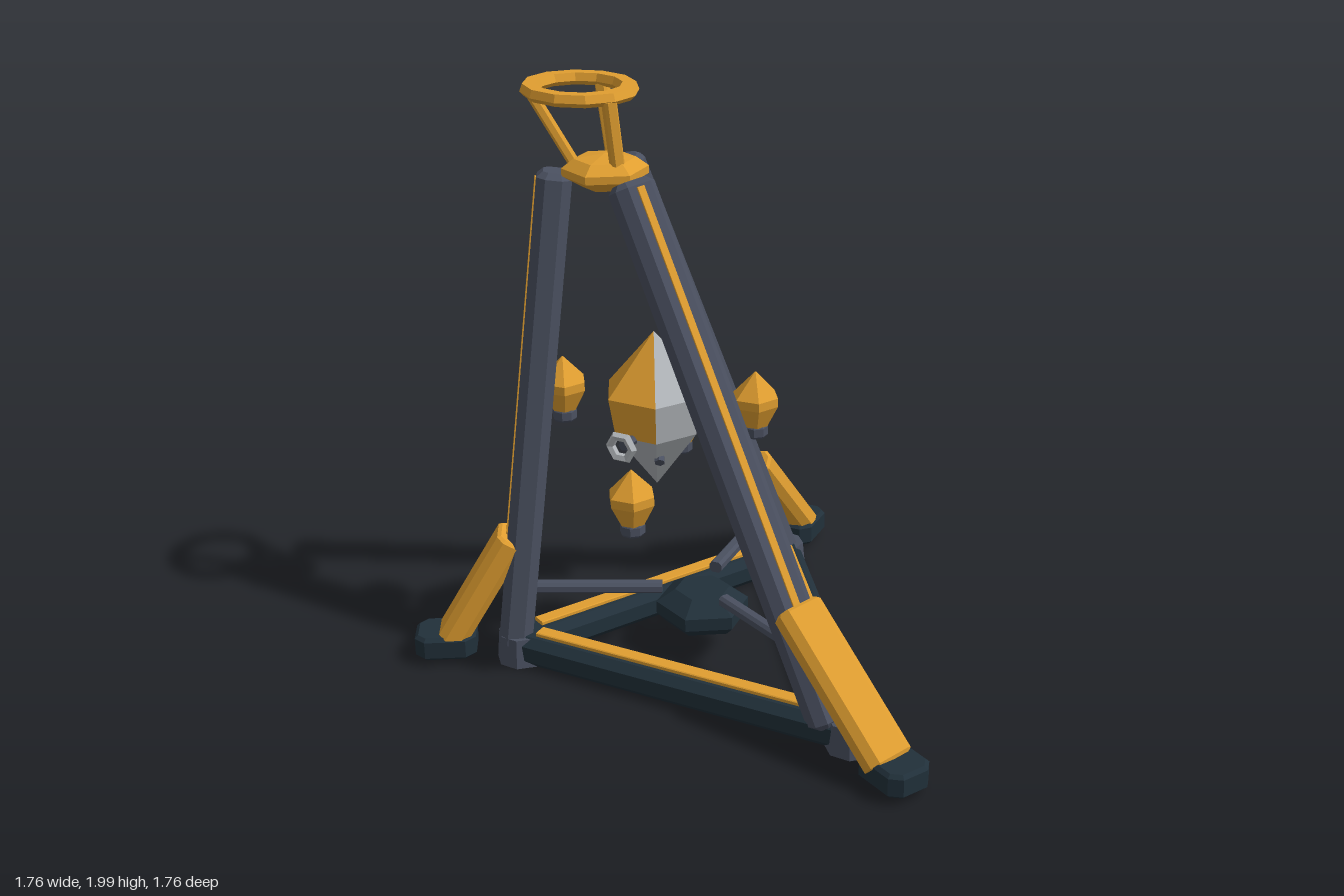
import * as THREE from 'three';

const V = (x, y, z) => new THREE.Vector3(x, y, z);

export function createModel() {
  const model = new THREE.Group();
  model.name = 'tripodTower';
  const mat = (name, color) => {
    const m = new THREE.MeshStandardMaterial({ color, flatShading: true });
    m.name = name;
    return m;
  };
  const amber = mat('amber', 0xe09e30);
  const slate = mat('slate', 0x4a5060);
  const dark = mat('darkTeal', 0x21303a);
  const silver = mat('silver', 0xb0b4b8);

  const add = (name, geo, material, pos = V(0, 0, 0), parent = model) => {
    const m = new THREE.Mesh(geo, material);
    m.name = name;
    m.position.copy(pos);
    parent.add(m);
    return m;
  };

  // Bar from a to b with a chamfered section: w across, d along the "out" side
  function bar(name, a, b, w, d, c, out, material, bevel = 0) {
    const x = w / 2, y = d / 2;
    const s = new THREE.Shape([
      [-x + c, -y], [x - c, -y], [x, -y + c], [x, y - c],
      [x - c, y], [-x + c, y], [-x, y - c], [-x, -y + c],
    ].map(p => new THREE.Vector2(...p)));
    const len = a.distanceTo(b);
    const geo = new THREE.ExtrudeGeometry(s, {
      depth: len - 2 * bevel, bevelEnabled: bevel > 0, bevelSize: bevel,
      bevelThickness: bevel, bevelOffset: -bevel, bevelSegments: 1,
    });
    geo.translate(0, 0, bevel);
    const axis = b.clone().sub(a).normalize();
    const t = out.clone().cross(axis).normalize();
    const o = axis.clone().cross(t);
    geo.applyMatrix4(new THREE.Matrix4().makeBasis(t, o, axis).setPosition(a));
    return add(name, geo, material);
  }

  // Faceted solid of revolution from [radius, y] pairs
  const lathe = (pts, sides) => new THREE.LatheGeometry(pts.map(p => new THREE.Vector2(...p)), sides);
  const rod = (name, a, b, r, material) => {
    const geo = new THREE.CylinderGeometry(r, r, a.distanceTo(b), 6);
    const m = add(name, geo, material, a.clone().add(b).multiplyScalar(0.5));
    m.quaternion.setFromUnitVectors(V(0, 1, 0), b.clone().sub(a).normalize());
  };

  // One entry per side of the tripod
  const sides = [
    { n: 'left', out: V(1, 0, 0.04), corner: V(0.53, 0, 0.03), top: V(-0.345, 1.72, 0.24), foot: V(0.475, 0.08, 0.07),
      strut: [V(0.335, 0.455, 0.105), V(0.76, 0.085, 0.075)], pad: V(0.775, 0, 0.07),
      spoke: [V(-0.12, 0.265, 0.05), V(0.43, 0.27, 0.06)], post: [V(-0.4, 1.75, 0.245), V(-0.385, 1.975, 0.28)] },
    { n: 'front', out: V(-0.55, 0, 0.83), corner: V(-0.6, 0, 0.57), top: V(-0.605, 1.72, 0.35), foot: V(-0.62, 0.06, 0.585),
      strut: [V(-0.645, 0.465, 0.56), V(-0.765, 0.085, 0.755)], pad: V(-0.775, 0, 0.77),
      spoke: [V(-0.33, 0.265, 0.16), V(-0.58, 0.275, 0.51)], post: [V(-0.565, 1.75, 0.305), V(-0.655, 1.975, 0.4)] },
    { n: 'back', out: V(-0.48, 0, -0.88), corner: V(-0.57, 0, -0.565), top: V(-0.6, 1.72, 0.1), foot: V(-0.58, 0.06, -0.56),
      strut: [V(-0.62, 0.465, -0.45), V(-0.71, 0.085, -0.755)], pad: V(-0.715, 0, -0.765),
      spoke: [V(-0.33, 0.265, -0.07), V(-0.55, 0.27, -0.46)], post: [V(-0.545, 1.75, 0.165), V(-0.645, 1.975, 0.135)] },
  ];

  sides.forEach((s, i) => {
    s.out.normalize();
    const at = (p, y) => V(p.x, y, p.z);

    // Leg with a thin stripe down its outer face
    bar(s.n + 'Leg', s.foot, s.top, 0.145, 0.115, 0.03, s.out, slate, 0.02);
    const axis = s.top.clone().sub(s.foot).normalize();
    const t = s.out.clone().cross(axis).normalize();
    const lift = axis.clone().cross(t).multiplyScalar(0.059);
    const on = k => s.foot.clone().lerp(s.top, k).add(lift);
    bar(s.n + 'LegStripe', on(0.2), on(0.985), 0.026, 0.009, 0.001, s.out, amber);

    // Outrigger strut and foot pad
    bar(s.n + 'Strut', s.strut[0], s.strut[1], 0.16, 0.1, 0.025, s.out, amber, 0.01);
    bar(s.n + 'FootPad', at(s.pad, 0.03), at(s.pad, 0.115), 0.165, 0.21, 0.035, s.out, dark, 0.012);

    // Corner joint
    const joint = new THREE.CylinderGeometry(0.08, 0.09, 0.105, 8);
    add(s.n + 'CornerJoint', joint, slate, at(s.corner, 0.0625));

    // Base beam to the next corner, with a strip on top
    const next = sides[(i + 1) % 3].corner;
    const up = V(0, 1, 0);
    bar(s.n + 'BaseBeam', at(s.corner, 0.065), at(next, 0.065), 0.13, 0.11, 0.028, up, dark);
    const mid = k => at(s.corner.clone().lerp(next, k), 0.127);
    bar(s.n + 'BaseStrip', mid(0.06), mid(0.94), 0.05, 0.016, 0.003, up, amber);

    // Spoke toward the base hub, and post under the crown ring
    bar(s.n + 'Spoke', s.spoke[0], s.spoke[1], 0.045, 0.04, 0.01, up, slate);
    bar(s.n + 'CrownPost', s.post[0], s.post[1], 0.045, 0.035, 0.008, s.out, amber);
  });

  // Base hub
  const hub = lathe([[0, 0.13], [0.14, 0.13], [0.17, 0.16], [0.17, 0.205], [0.1, 0.25], [0, 0.25]], 6);
  hub.rotateY(Math.PI / 6);
  hub.scale(1, 1, 0.92);
  add('baseHub', hub, dark, V(-0.26, 0, 0.04));

  // Top hub and crown ring
  const crown = lathe([[0, 1.675], [0.07, 1.675], [0.14, 1.715], [0.14, 1.74], [0.1, 1.77], [0, 1.785]], 6);
  crown.rotateY(Math.PI / 6);
  add('topHub', crown, amber, V(-0.48, 0, 0.24));
  const ring = lathe([[0.135, 1.975], [0.15, 1.96], [0.185, 1.96], [0.2, 1.975], [0.19, 2], [0.145, 2], [0.135, 1.975]], 12);
  ring.scale(1.02, 1, 0.92);
  add('crownRing', ring, amber, V(-0.567, 0, 0.27));

  // Central crystal: two front sides amber, the rest silver
  const core = new THREE.Group();
  core.name = 'crystal';
  core.position.set(-0.375, 0, 0.14);
  core.rotation.y = -0.08;
  model.add(core);
  const third = Math.PI / 3;
  const bands = [[0.001, 1.19, 0.178, 0.985], [0.178, 0.985, 0.155, 0.85], [0.155, 0.85, 0.001, 0.64]];
  bands.forEach(([rt, yt, rb, yb], i) => {
    const band = (name, n, start, m) => add(name,
      new THREE.CylinderGeometry(rt, rb, yt - yb, n, 1, true, start, n * third), m, V(0, (yt + yb) / 2, 0), core);
    band('crystalFront', 2, -third, i < 2 ? amber : silver);
    band('crystalBack', 4, third, silver);
  });

  // Lens ring and rods on the crystal
  const lens = add('lensRing', new THREE.TorusGeometry(0.042, 0.016, 5, 6), silver, V(-0.3, 0.85, 0.33));
  lens.rotation.y = 0.45;
  rod('lensRod', V(-0.35, 0.85, 0.22), V(-0.305, 0.85, 0.32), 0.018, slate);
  rod('lowerRod', V(-0.34, 0.8, 0.15), V(-0.285, 0.76, 0.19), 0.018, slate);

  // Floating lanterns
  const bulb = lathe([[0.042, -0.09], [0.08, -0.015], [0.08, 0.015], [0.001, 0.1]], 6);
  const cap = lathe([[0, -0.13], [0.036, -0.13], [0.042, -0.122], [0.042, -0.094], [0.036, -0.086], [0, -0.086]], 8);
  [V(-0.125, 0.97, -0.09), V(-0.165, 0.735, 0.385), V(-0.635, 0.97, 0.335), V(-0.605, 0.735, -0.125)].forEach(p => {
    add('lantern', bulb, amber, p);
    add('lanternCap', cap, slate, p);
  });

  return model;
}
